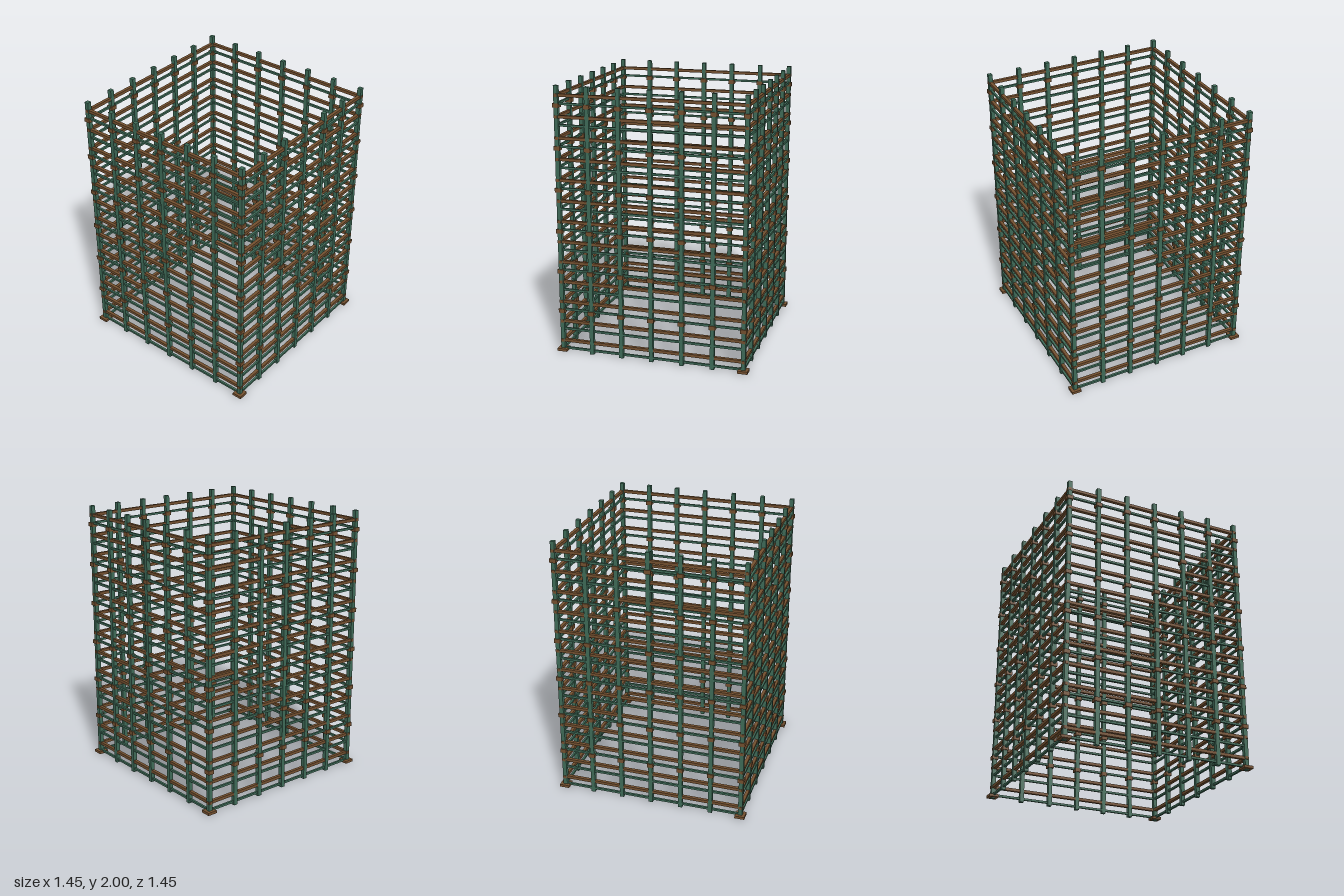
import * as THREE from 'three';

const HALF = 0.69;      // wall centre line
const BAY = 0.23;       // distance between posts
const STEP = 0.1537;    // distance between rails of one kind

export function createModel() {
  const green = new THREE.MeshStandardMaterial({ color: 0x3f6b58 });
  green.name = 'green';
  const brown = new THREE.MeshStandardMaterial({ color: 0x74502f });
  brown.name = 'brown';

  const model = new THREE.Group();
  model.name = 'lattice enclosure';

  const postShape = new THREE.BoxGeometry(0.031, 2, 0.031);
  const clampShape = new THREE.BoxGeometry(0.047, 0.03, 0.047);
  const footShape = new THREE.BoxGeometry(0.074, 0.02, 0.074);
  const greenRailShape = new THREE.BoxGeometry(2 * HALF, 0.016, 0.016);
  const brownRailShape = new THREE.BoxGeometry(1.418, 0.022, 0.024);

  const add = (parent, name, shape, material, x, y, z) => {
    const mesh = new THREE.Mesh(shape, material);
    mesh.name = name;
    mesh.position.set(x, y, z);
    parent.add(mesh);
  };

  // Four identical walls; each owns one of its two corner posts
  ['front', 'left', 'back', 'right'].forEach((side, w) => {
    const wall = new THREE.Group();
    wall.name = side + 'Wall';
    wall.rotation.y = (w * Math.PI) / 2;
    model.add(wall);

    // Posts with their clamps
    for (let i = 0; i < 6; i++) {
      const x = -HALF + i * BAY;
      add(wall, i ? 'post' : 'cornerPost', postShape, green, x, 1, HALF);
      for (let k = 0; k < 6; k++) {
        add(wall, 'clamp', clampShape, brown, x, 0.322 + k * 2 * STEP, HALF);
      }
    }

    // Corner foot
    add(wall, 'foot', footShape, brown, -HALF, 0.016, HALF);

    // Alternating thin green and thicker brown rails
    for (let k = 0; k < 13; k++) {
      add(wall, 'greenRail', greenRailShape, green, 0, 0.026 + k * STEP, HALF);
      add(wall, 'brownRail', brownRailShape, brown, 0, 0.087 + k * STEP, HALF);
    }
  });

  return model;
}
